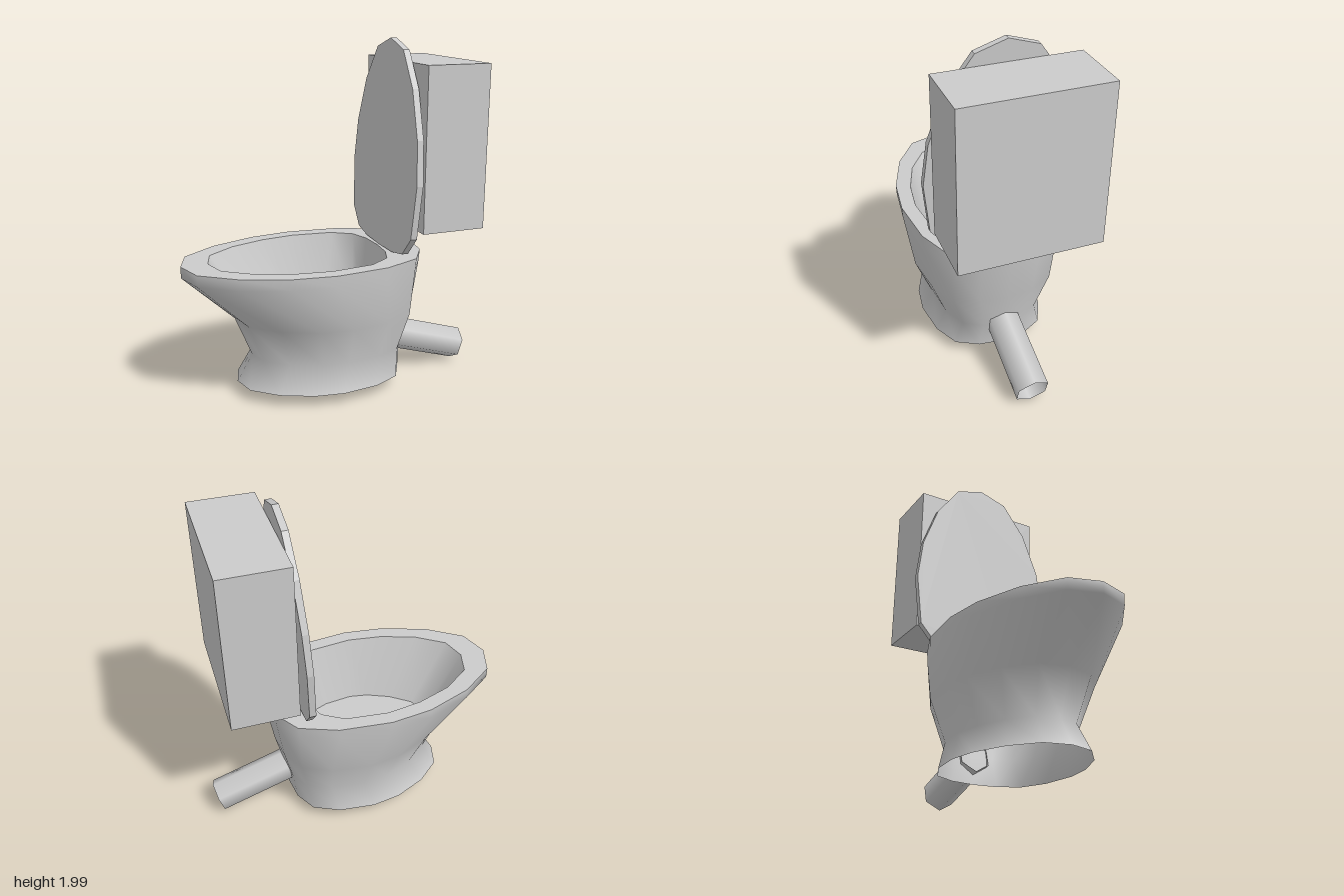
import * as THREE from 'three';

const material = new THREE.MeshStandardMaterial({ color: 0xcccccc, side: THREE.DoubleSide });

function addMesh(group, name, geometry) {
  const mesh = new THREE.Mesh(geometry, material);
  mesh.name = name;
  group.add(mesh);
  return mesh;
}

// Full ring from a half outline of [x, z], nose to back, mirrored in z
function ring(half, y) {
  const mirrored = half.slice(1, -1).reverse().map(([x, z]) => [x, -z]);
  return [...half, ...mirrored].map(([x, z]) => [x, y, z]);
}

// Skin between successive rings of equal length
function loft(rings) {
  const n = rings[0].length;
  const index = [];
  for (let r = 0; r < rings.length - 1; r++) {
    for (let i = 0; i < n; i++) {
      const a = r * n + i, b = r * n + (i + 1) % n;
      index.push(a, a + n, b + n, a, b + n, b);
    }
  }
  const geometry = new THREE.BufferGeometry();
  geometry.setAttribute('position', new THREE.Float32BufferAttribute(rings.flat(2), 3));
  geometry.setIndex(index);
  geometry.computeVertexNormals();
  return geometry;
}

// Open tube between two points
function pipe(from, to, radius, sides) {
  const a = new THREE.Vector3(...from), b = new THREE.Vector3(...to);
  const dir = b.clone().sub(a);
  const geometry = new THREE.CylinderGeometry(radius, radius, dir.length(), sides, 1, true);
  geometry.rotateY(Math.PI / 2);
  geometry.applyQuaternion(new THREE.Quaternion().setFromUnitVectors(
    new THREE.Vector3(0, 1, 0), dir.normalize()));
  const mid = a.add(b).multiplyScalar(0.5);
  return geometry.translate(mid.x, mid.y, mid.z);
}

export function createModel() {
  const model = new THREE.Group();
  model.name = 'toilet';

  // Half outlines: rim edge, basin opening, basin floor
  const rim = [[-0.87, 0], [-0.815, 0.17], [-0.62, 0.31], [-0.36, 0.405], [-0.12, 0.436],
    [0.18, 0.405], [0.39, 0.32], [0.485, 0.17], [0.51, 0]];
  const opening = [[-0.72, 0], [-0.68, 0.14], [-0.52, 0.255], [-0.32, 0.325], [-0.12, 0.353],
    [0.12, 0.327], [0.24, 0.25], [0.28, 0.14], [0.29, 0]];
  const floor = [[-0.49, 0], [-0.455, 0.1], [-0.34, 0.19], [-0.21, 0.25], [-0.1, 0.27],
    [0.065, 0.25], [0.21, 0.19], [0.235, 0.1], [0.24, 0]];

  // Outer wall: the rim outline refitted at each level
  const level = (y, x0, x1, halfWidth) => ring(rim.map(([x, z]) =>
    [x0 + (x + 0.87) / 1.38 * (x1 - x0), z / 0.436 * halfWidth]), y);
  const bowl = new THREE.Group();
  bowl.name = 'bowl';
  addMesh(bowl, 'bowlWall', loft([
    level(0.81, -0.87, 0.51, 0.436),
    level(0.745, -0.87, 0.505, 0.432),
    level(0.47, -0.58, 0.46, 0.4),
    level(0.235, -0.485, 0.405, 0.305),
    level(0.08, -0.575, 0.39, 0.36),
  ]));
  addMesh(bowl, 'rim', loft([ring(opening, 0.81), ring(rim, 0.81)]));
  addMesh(bowl, 'basin', loft([ring(floor, 0.42), ring(opening, 0.81)]));
  addMesh(bowl, 'basinFloor', loft([ring(floor.map(() => [-0.1, 0]), 0.42), ring(floor, 0.42)]));
  model.add(bowl);

  // Raised lid: rim outline with a cut-off back, leaning against the tank
  const lidHalf = [...rim.slice(0, 6), [0.29, 0.31], [0.315, 0.18], [0.32, 0]];
  const outline = ring(lidHalf, 0).map(([x, , z]) => new THREE.Vector2(z, 0.32 - x));
  const lidGeometry = new THREE.ExtrudeGeometry(new THREE.Shape(outline),
    { depth: 0.037, bevelEnabled: false });
  lidGeometry.rotateY(Math.PI / 2);
  const lid = addMesh(model, 'lid', lidGeometry);
  lid.position.set(0.302, 0.812, 0);
  lid.rotation.z = -0.043;

  // Water tank
  const tank = addMesh(model, 'tank', new THREE.BoxGeometry(0.37, 0.91, 0.79));
  tank.position.set(0.575, 1.425, 0);

  // Pipes
  addMesh(model, 'flushPipe', pipe([0.405, 0.77, 0], [0.505, 0.99, 0], 0.057, 8));
  addMesh(model, 'drainPipe', pipe([0.385, 0.243, 0], [0.832, 0.1, 0], 0.098, 6));

  return model;
}
